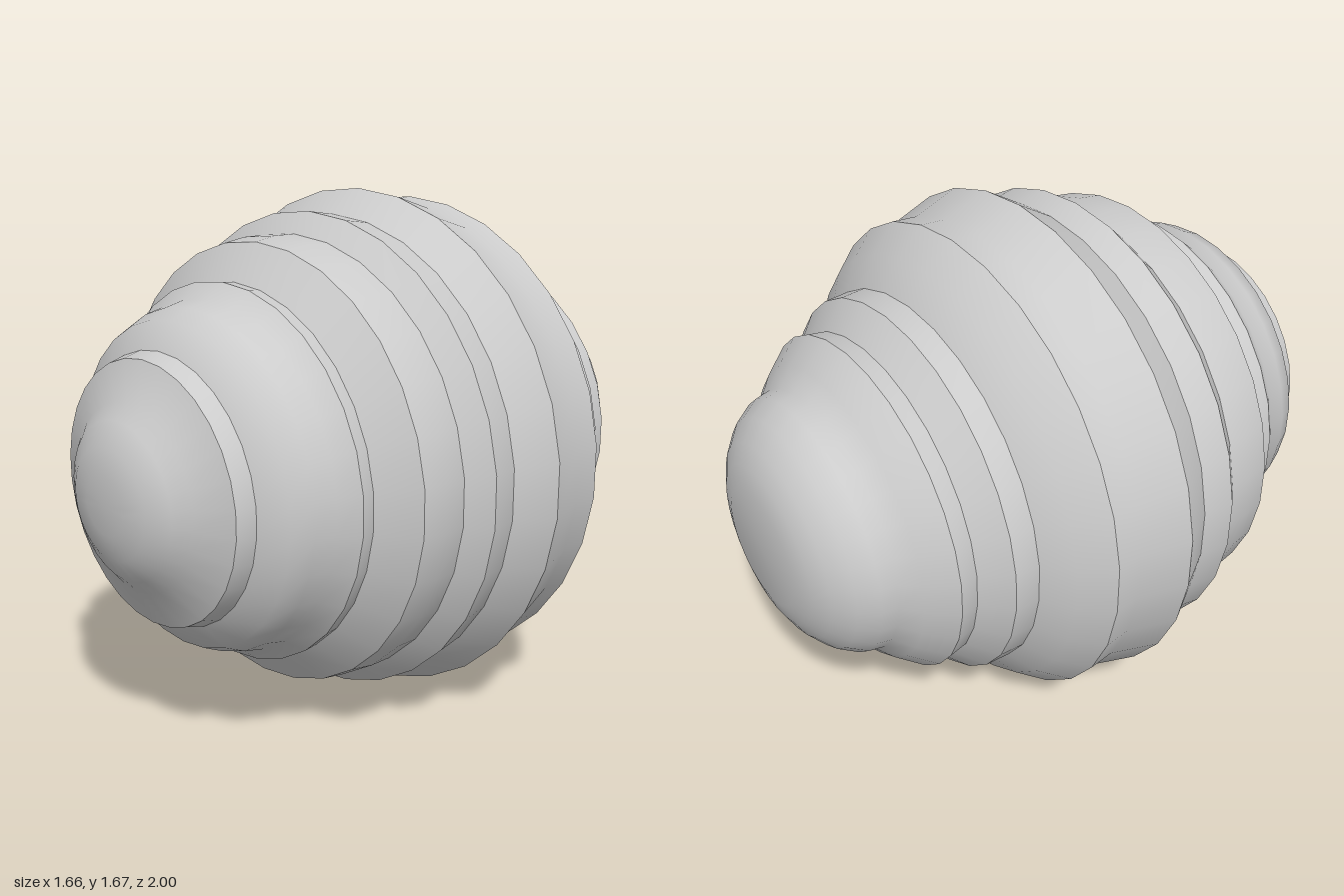
import * as THREE from 'three';
import { toCreasedNormals } from 'three/addons/utils/BufferGeometryUtils.js';

// Ridged outline as [radius, z], from the flat back cap to the front tip
const profile = [
  [0, -1], [0.19, -1], [0.26, -0.98], [0.32, -0.95], [0.38, -0.9], [0.42, -0.84],
  [0.43, -0.79], [0.485, -0.74], [0.555, -0.655], [0.545, -0.595], [0.626, -0.515],
  [0.63, -0.435], [0.72, -0.37], [0.796, -0.275], [0.788, -0.19], [0.836, -0.03],
  [0.762, 0.09], [0.777, 0.19], [0.712, 0.255], [0.712, 0.33], [0.7, 0.41],
  [0.588, 0.5], [0.593, 0.545], [0.545, 0.6], [0.53, 0.67], [0.5, 0.735],
  [0.418, 0.785], [0.403, 0.845], [0.285, 0.9], [0.24, 0.94], [0.17, 0.98],
  [0.09, 0.995], [0, 1],
];

export function createModel() {
  const group = new THREE.Group();
  group.name = 'ridgedPod';

  // One turned body lying along z, with sharp ridges and soft hollows
  const lathe = new THREE.LatheGeometry(profile.map(([r, z]) => new THREE.Vector2(r, z)), 30);
  lathe.rotateX(Math.PI / 2);
  const body = new THREE.Mesh(
    toCreasedNormals(lathe, THREE.MathUtils.degToRad(40)),
    new THREE.MeshStandardMaterial({ color: 0xcccccc })
  );
  body.name = 'ridgedBody';
  body.position.y = 0.838;
  group.add(body);
  return group;
}
